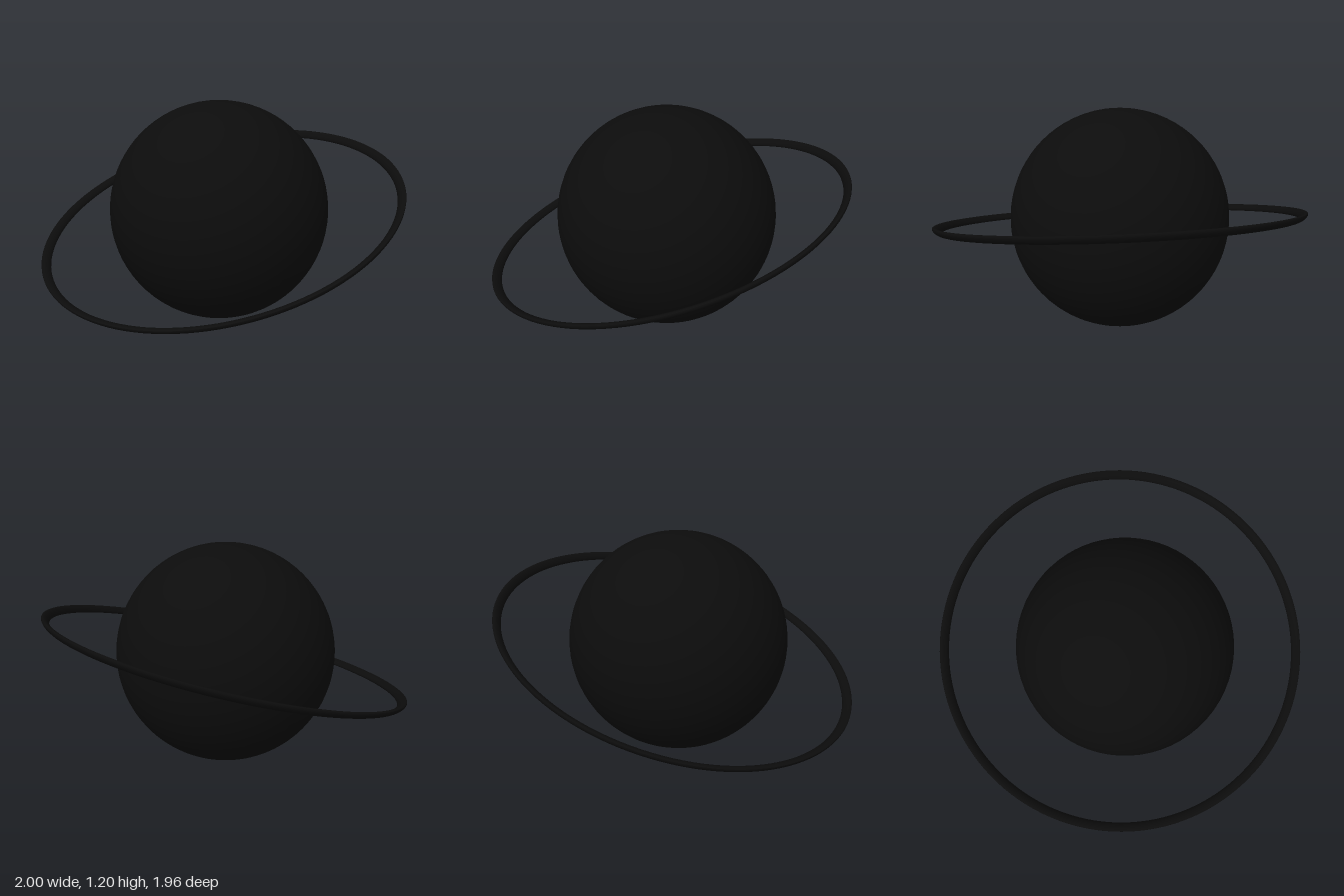
import * as THREE from 'three';

export function createModel() {
  const model = new THREE.Group();
  const black = new THREE.MeshStandardMaterial({ color: 0x0c0c0c });
  black.name = 'black';

  // Globe standing on the ground plane
  const globe = new THREE.Mesh(new THREE.SphereGeometry(0.602, 64, 40), black);
  globe.name = 'globe';
  globe.position.y = 0.602;
  model.add(globe);

  // Thin ring: a slanted oval section, its outer edge raised, swept around the globe
  const radius = 0.99, long = 0.027, short = 0.0135, slant = 0.66, sides = 16;
  const section = [];
  for (let i = 0; i <= sides; i++) {
    const t = (i / sides) * Math.PI * 2;
    const u = long * Math.cos(t), v = short * Math.sin(t);
    section.push(new THREE.Vector2(
      radius + u * Math.cos(slant) - v * Math.sin(slant),
      u * Math.sin(slant) + v * Math.cos(slant)
    ));
  }
  const ring = new THREE.Mesh(new THREE.LatheGeometry(section, 128), black);
  ring.name = 'ring';
  ring.position.y = 0.586;

  // Tilt: higher towards the left and the back
  const axis = new THREE.Vector3(-0.16, 1, 0.26).normalize();
  ring.quaternion.setFromUnitVectors(new THREE.Vector3(0, 1, 0), axis);
  model.add(ring);

  return model;
}
